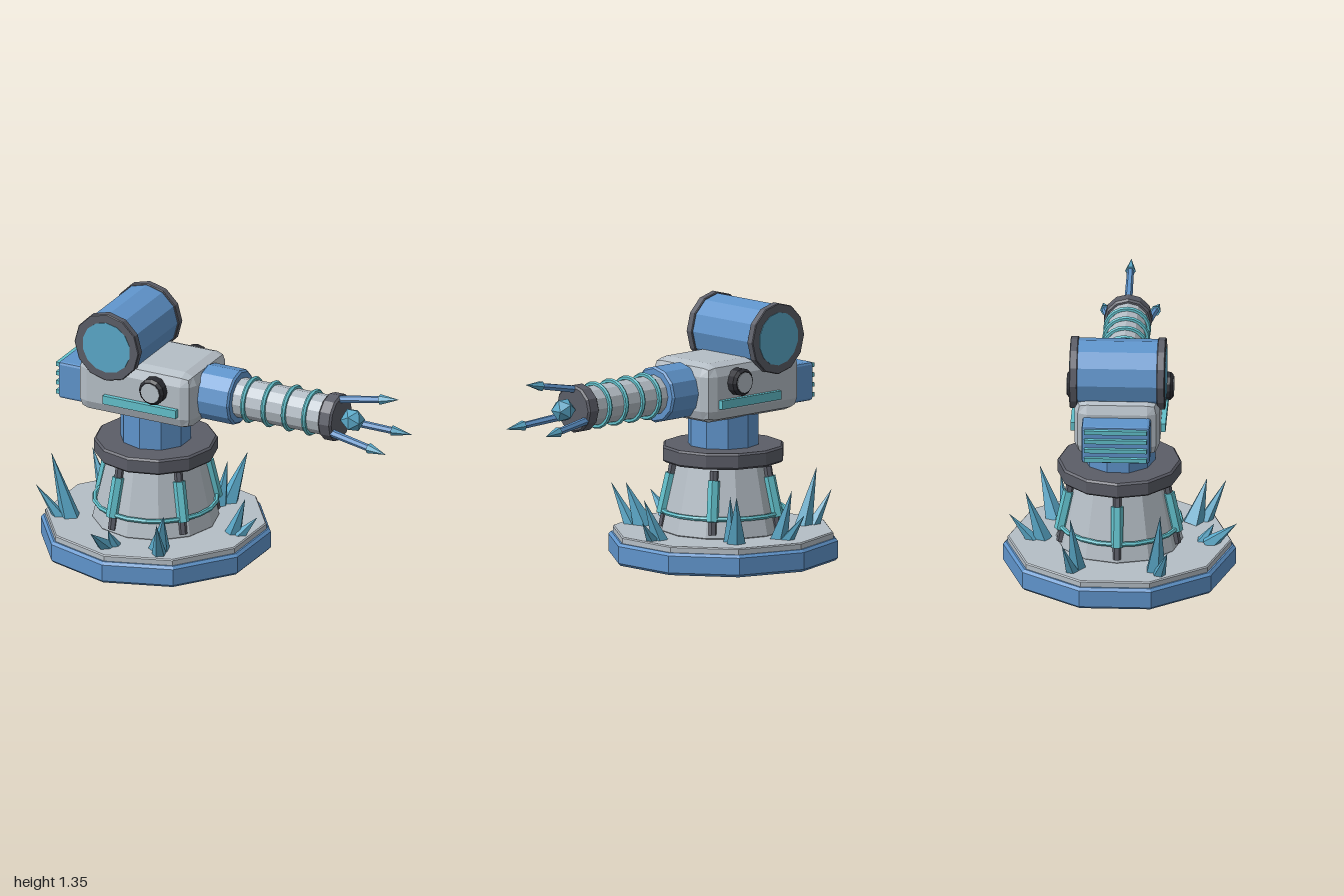
import * as THREE from 'three';
import { RoundedBoxGeometry } from 'three/addons/geometries/RoundedBoxGeometry.js';

const paint = (name, color) => {
  const m = new THREE.MeshStandardMaterial({ color, flatShading: true });
  m.name = name;
  return m;
};

export function createModel() {
  const blue = paint('blue', 0x5f94cb);
  const grey = paint('light grey', 0xb5bec6);
  const dark = paint('dark grey', 0x5b5d67);
  const black = paint('black', 0x2b2c32);
  const teal = paint('teal', 0x62c0cb);
  const crystal = paint('crystal blue', 0x5aa8c8);

  const model = new THREE.Group();
  model.name = 'crystalTurret';
  const AX = -0.425, AZ = -0.0125; // turret axis
  const UP = new THREE.Vector3(0, 1, 0);
  const V = (x, y, z) => new THREE.Vector3(x, y, z);

  const add = (name, geometry, material, x = 0, y = 0, z = 0, parent = model) => {
    const mesh = new THREE.Mesh(geometry, material);
    mesh.name = name;
    mesh.position.set(x, y, z);
    parent.add(mesh);
    return mesh;
  };

  // Faceted drum with small bevels, standing on its own y = 0
  const drum = (r0, r1, h, sides, b = 0.01) => new THREE.LatheGeometry([
    [0, 0], [r0 - b, 0], [r0, b], [r1, h - b], [r1 - b, h], [0, h],
  ].map(([r, y]) => new THREE.Vector2(r, y)), sides);

  // Rod or cone between two points
  const between = (name, a, b, r0, r1, sides, material, parent = model) => {
    const geometry = new THREE.CylinderGeometry(r1, r0, a.distanceTo(b), sides);
    const mesh = add(name, geometry, material, 0, 0, 0, parent);
    mesh.position.copy(a).lerp(b, 0.5);
    mesh.quaternion.setFromUnitVectors(UP, b.clone().sub(a).normalize());
    return mesh;
  };

  // Base, pedestal and neck
  add('base', drum(0.605, 0.605, 0.117, 10, 0.014), blue, AX, 0, AZ);
  add('basePlate', drum(0.582, 0.582, 0.04, 10, 0.006), grey, AX, 0.11, AZ);
  add('pedestal', drum(0.33, 0.248, 0.375, 12), grey, AX, 0.145, AZ);
  add('bearingRing', drum(0.322, 0.322, 0.085, 12), dark, AX, 0.515, AZ);
  add('neck', drum(0.186, 0.186, 0.2, 10), blue, AX, 0.59, AZ);
  add('pedestalHoop', new THREE.TorusGeometry(0.32, 0.013, 6, 20), teal, AX, 0.255, AZ)
    .rotation.x = Math.PI / 2;

  // Five pistons leaning against the pedestal
  for (let i = 0; i < 5; i++) {
    const a = (36 + 72 * i) * Math.PI / 180;
    const at = (r, y) => V(AX + r * Math.cos(a), y, AZ + r * Math.sin(a));
    between('pistonRod', at(0.318, 0.17), at(0.262, 0.5), 0.022, 0.022, 6, dark);
    between('pistonSleeve', at(0.32, 0.24), at(0.272, 0.45), 0.032, 0.032, 6, teal);
  }

  // Crystal spikes: base x, z, tip x, y, z, radius
  [
    [-0.44, -0.41, -0.45, 0.41, -0.50, 0.05], [-0.45, -0.46, -0.46, 0.29, -0.585, 0.036],
    [-0.18, -0.36, -0.11, 0.41, -0.44, 0.055], [-0.20, -0.30, -0.17, 0.39, -0.33, 0.042],
    [-0.80, -0.22, -0.87, 0.45, -0.25, 0.05], [-0.85, -0.24, -0.94, 0.33, -0.29, 0.036],
    [-0.82, 0.19, -0.915, 0.50, 0.22, 0.055], [-0.87, 0.21, -0.985, 0.32, 0.26, 0.036],
    [-0.47, 0.45, -0.49, 0.27, 0.60, 0.045], [-0.44, 0.42, -0.45, 0.25, 0.48, 0.036],
    [-0.21, 0.36, -0.15, 0.37, 0.43, 0.06], [-0.18, 0.42, -0.14, 0.36, 0.53, 0.04],
    [0.03, -0.01, 0.115, 0.365, 0.02, 0.046], [0.07, 0, 0.165, 0.255, -0.02, 0.035],
  ].forEach(([bx, bz, tx, ty, tz, r]) =>
    between('crystalSpike', V(bx, 0.14, bz), V(tx, ty, tz), r, 0, 5, crystal));

  // Head with side strips and round knobs
  add('head', new RoundedBoxGeometry(0.675, 0.312, 0.444, 1, 0.065), grey, -0.443, 0.918, AZ);
  for (const s of [1, -1]) {
    const side = new THREE.Group();
    side.name = 'headSide';
    side.position.z = AZ;
    side.rotation.x = s * Math.PI / 2; // local y points outward
    model.add(side);
    add('knob', drum(0.073, 0.073, 0.075, 12, 0.014), black, -0.315, 0.2, -s * 0.97, side)
      .position.z = -s * 0.97;
    add('knobCap', new THREE.CylinderGeometry(0.054, 0.054, 0.006, 12), grey,
      -0.315, 0.275, -s * 0.97, side);
    add('sideStrip', new THREE.BoxGeometry(0.428, 0.05, 0.046), teal,
      -0.395, 0.222, -s * 0.863, side);
  }

  // Rear pack with fins
  add('rearPack', new RoundedBoxGeometry(0.17, 0.205, 0.355, 1, 0.015), blue, -0.82, 0.89, AZ);
  for (let i = 0; i < 4; i++) {
    add('rearFin', new THREE.BoxGeometry(0.04, 0.022, 0.325), teal, -0.905, 0.815 + i * 0.052, AZ);
  }

  // Scope drum lying across the head
  const scope = new THREE.Group();
  scope.name = 'scope';
  scope.position.set(-0.585, 1.163, AZ);
  scope.rotation.x = Math.PI / 2;
  model.add(scope);
  add('scopeBody', drum(0.18, 0.18, 0.46, 12), blue, 0, -0.23, 0, scope);
  for (const s of [1, -1]) {
    add('scopeRim', drum(0.188, 0.188, 0.042, 12, 0.004), dark, 0, s * 0.227 - 0.021, 0, scope);
    add('scopeLens', new THREE.CylinderGeometry(0.14, 0.14, 0.005, 14), crystal,
      0, s * 0.248, 0, scope);
  }

  // Barrel, built upright and laid along +x
  const gun = new THREE.Group();
  gun.name = 'barrelAssembly';
  gun.position.set(0, 0.92, AZ);
  gun.rotation.z = -Math.PI / 2;
  model.add(gun);
  add('collar', drum(0.148, 0.148, 0.2, 12), blue, 0, -0.125, 0, gun);
  add('barrel', drum(0.106, 0.106, 0.56, 12), grey, 0, 0.05, 0, gun);
  add('muzzle', drum(0.126, 0.126, 0.078, 12), dark, 0, 0.583, 0, gun);
  for (let i = 0; i < 4; i++) {
    add('barrelRing', new THREE.TorusGeometry(0.112, 0.013, 6, 20), teal,
      0, 0.14 + i * 0.119, 0, gun).rotation.x = Math.PI / 2;
  }

  // Three splayed prongs with crystal tips
  for (let i = 0; i < 3; i++) {
    const a = Math.PI + i * Math.PI * 2 / 3;
    const at = (r, y) => V(r * Math.cos(a), y, r * Math.sin(a));
    between('prong', at(0.098, 0.62), at(0.152, 0.9), 0.021, 0.018, 6, blue, gun);
    between('prongTip', at(0.15, 0.888), at(0.17, 0.998), 0.028, 0, 6, crystal, gun);
  }
  add('focusCrystal', new THREE.IcosahedronGeometry(0.065, 0), crystal, 0.727, 0.922, AZ);

  return model;
}
